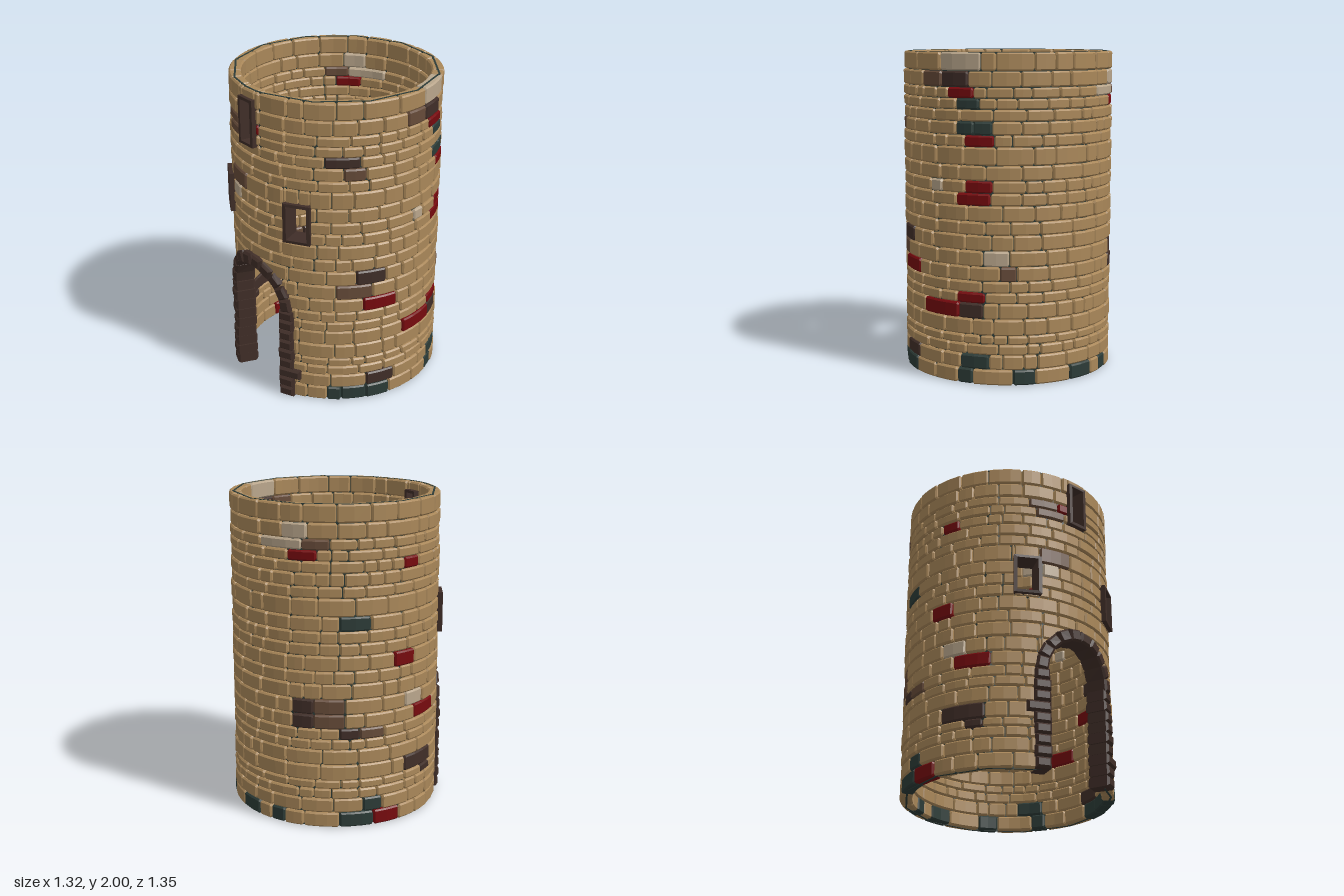
import * as THREE from 'three';
import { mergeGeometries } from 'three/addons/utils/BufferGeometryUtils.js';

const DEG = Math.PI / 180;
const R = 0.66;          // wall radius used when wrapping flat parts
const CZ = -0.015;       // centre of the tower in z
const ARCH_R = 0.27, SPRING = 0.615;

// row boundaries from top to bottom
const LEVELS = [2, 1.89, 1.795, 1.73, 1.665, 1.595, 1.515, 1.445, 1.335, 1.245, 1.17, 1.095, 1,
  0.92, 0.825, 0.73, 0.64, 0.57, 0.505, 0.41, 0.31, 0.255, 0.19, 0.1, 0.005];

// coloured bricks: [row, start angle, end angle], 0 = front, 90 = +x
const ACCENTS = {
  red: [[2, -12, 7], [4, -80, -69], [11, -86, -72], [15, -71, -50], [15, 66, 86], [18, 91, 115],
    [17, 114, 130], [9, 119, 134], [10, 114, 133], [6, 119, 135], [2, 109, 124], [3, -145, -129], [23, -98, -82]],
  pale: [[8, -22, -12], [14, -78, -64], [14, 129, 143], [9, 97, 105], [0, 104, 128], [1, -148, -134], [2, -162, -137]],
  teal: [[23, 46, 54], [23, 54, 68], [23, 68, 82], [23, 114, 123], [23, 145, 157], [23, 178, 194], [23, -157, -148],
    [23, -117, -98], [22, -104, -93], [22, 116, 132], [5, 114, 124], [5, 124, 134], [3, 114, 127], [8, -117, -100]],
  brown: [[2, -29, -12], [3, -25, -8], [5, 55, 67], [7, -23.5, -5], [14, 51, 71], [1, 91, 105], [15, 138, 147],
    [2, -137, -122], [14, -131, -114], [15, -131, -114], [16, -106, -92]],
  dark: [[4, 45, 64], [19, -78, -53], [20, -64, -54], [13, 62, 79], [22, 68, 85], [18, 115, 129], [1, 105, 121],
    [14, -143, -131], [15, -143, -131], [16, -117, -106]],
};

// windows on the unrolled wall: centre u, width, bottom, top
const WINDOWS = [
  { name: 'upperWindow', u: -0.003, w: 0.134, y0: 1.655, y1: 1.95 },
  { name: 'leftWindow', u: 0.354, w: 0.168, y0: 1.105, y1: 1.36 },
  { name: 'rightWindow', u: -0.354, w: 0.168, y0: 1.105, y1: 1.36 },
];

// openings as angle ranges with a bottom and a top that may vary with angle
const doorTop = a => SPRING + Math.sqrt(Math.max(0, ARCH_R ** 2 - (a * DEG * R) ** 2));
const doorA = ARCH_R / R / DEG;
const HOLES = [
  { a0: -doorA, a1: 0, y0: -1, max: SPRING + ARCH_R, top: doorTop },
  { a0: 0, a1: doorA, y0: -1, max: SPRING + ARCH_R, top: doorTop },
  ...WINDOWS.map(w => ({
    a0: (w.u - w.w / 2 + 0.008) / R / DEG, a1: (w.u + w.w / 2 - 0.008) / R / DEG,
    y0: w.y0 + 0.008, max: w.y1 - 0.008, top: () => w.y1 - 0.008,
  })),
];

let seed = 7;
const rand = () => (seed = (seed * 16807) % 2147483647) / 2147483647;

function makeGeometry(pos) {
  const g = new THREE.BufferGeometry();
  g.setAttribute('position', new THREE.Float32BufferAttribute(pos, 3));
  g.computeVertexNormals();
  return g;
}

// chamfered block bent round the tower; the bottom may follow an opening
function block(a0, a1, bottom, y1, r0, r1, c, step) {
  const n = Math.max(1, Math.ceil((a1 - a0) / step));
  const cols = [];
  for (let i = 0; i <= n; i++) {
    const a = a0 + (a1 - a0) * i / n;
    if (bottom(a) < y1 - 0.008) cols.push({ a, y: bottom(a), in: 0 });
  }
  if (cols.length < 2) return null;
  if (c) { // inset end sections give the bevelled ends
    const e = Math.min(c / R / DEG, (cols[1].a - cols[0].a) / 3);
    const first = cols[0], last = cols[cols.length - 1];
    cols.unshift({ ...first, in: c });
    cols.push({ ...last, in: c });
    first.a += e;
    last.a -= e;
  }
  const rings = cols.map(({ a, y, in: k }) => {
    const b = Math.min(c, (y1 - y) / 4), m = Math.min(k, b);
    const lo = y + m, hi = y1 - m, ri = r0 + m, ro = r1 - m;
    const sec = c ? [[ro, lo + b], [ro, hi - b], [ro - b, hi], [ri + b, hi], [ri, hi - b], [ri, lo + b], [ri + b, lo], [ro - b, lo]]
      : [[ro, lo], [ro, hi], [ri, hi], [ri, lo]];
    return sec.map(([r, h]) => [r * Math.sin(a * DEG), h, r * Math.cos(a * DEG) + CZ]);
  });
  const pos = [], tri = (...p) => p.forEach(v => pos.push(...v));
  const s = rings[0].length, end = rings[rings.length - 1];
  for (let i = 0; i + 1 < rings.length; i++) for (let k = 0; k < s; k++) {
    const l = (k + 1) % s, A = rings[i], B = rings[i + 1];
    tri(A[k], B[k], B[l]);
    tri(A[k], B[l], A[l]);
  }
  for (let k = 1; k + 1 < s; k++) {
    tri(rings[0][0], rings[0][k], rings[0][k + 1]);
    tri(end[0], end[k + 1], end[k]);
  }
  return makeGeometry(pos);
}

// a course piece cut round every opening it meets
function cutBlock(out, a0, a1, y0, y1, r0, r1, c, step) {
  const add = (...args) => { const g = block(...args); if (g) out.push(g); };
  const hits = HOLES.filter(h => h.a1 > a0 && h.a0 < a1 && h.y0 < y1 && h.max > y0).sort((p, q) => p.a0 - q.a0);
  let at = a0;
  for (const h of hits) {
    const s = Math.max(a0, h.a0), e = Math.min(a1, h.a1);
    if (s - at > 0.3) add(at, s, () => y0, y1, r0, r1, c, step);
    if (h.y0 - y0 > 0.01) add(s, e, () => y0, h.y0, r0, r1, c, step);
    add(s, e, a => Math.max(y0, h.top(a)), y1, r0, r1, c, 1.5);
    at = e;
  }
  if (a1 - at > 0.3) add(at, a1, () => y0, y1, r0, r1, c, step);
}

// bends a flat part (x along the wall, z = radius) round the tower
function wrap(g) {
  const p = g.attributes.position;
  for (let i = 0; i < p.count; i++) {
    const a = p.getX(i) / R, r = p.getZ(i);
    p.setXYZ(i, r * Math.sin(a), p.getY(i), r * Math.cos(a) + CZ);
  }
  g.computeVertexNormals();
  return g;
}

function rect(Type, w, h) {
  return new Type([[-w, -h], [w, -h], [w, h], [-w, h]].map(([x, y]) => new THREE.Vector2(x / 2, y / 2)));
}

// chamfered arch stone
function stone(u, y, w, h, turn) {
  const b = 0.013, r0 = 0.545 + rand() * 0.008, r1 = 0.682 + rand() * 0.008;
  const g = new THREE.ExtrudeGeometry(rect(THREE.Shape, w, h), {
    depth: r1 - r0 - 2 * b, bevelThickness: b, bevelSize: b, bevelOffset: -b, bevelSegments: 1,
  });
  return wrap(g.rotateZ(turn).translate(u, y, r0 + b));
}

export function createModel() {
  const model = new THREE.Group();
  model.name = 'brickTower';
  const colors = { tan: 0xa98759, red: 0x760a0e, pale: 0xb9a68c, teal: 0x2c3b37, brown: 0x664b39, dark: 0x402e28 };
  const mats = {};
  for (const [name, color] of Object.entries(colors)) {
    mats[name] = new THREE.MeshStandardMaterial({ color, flatShading: true });
    mats[name].name = name;
  }
  const addMesh = (name, geo, mat) => {
    const m = new THREE.Mesh(geo, mats[mat]);
    m.name = name;
    model.add(m);
  };

  // brick courses and the thin twelve-sided mortar core
  const bricks = { tan: [], red: [], pale: [], teal: [], brown: [], dark: [] }, mortar = [];
  for (let row = 0; row < LEVELS.length - 1; row++) {
    const y1 = LEVELS[row], y0 = LEVELS[row + 1];
    const fixed = Object.entries(ACCENTS)
      .flatMap(([col, list]) => list.filter(b => b[0] === row).map(b => ({ a0: b[1], a1: b[2], col })))
      .sort((p, q) => p.a0 - q.a0);
    const start = fixed.length ? fixed[0].a0 : -180 + rand() * 20;
    const avg = 9.5 + (y1 - y0) * 55;
    const all = [...fixed];
    let at = start;
    for (const f of [...fixed, { a0: start + 360, a1: start + 360 }]) {
      const gap = f.a0 - at;
      if (gap > 0.5) {
        const n = Math.max(1, Math.round(gap / avg));
        const widths = Array.from({ length: n }, () => 0.55 + rand() * 0.9);
        const sum = widths.reduce((p, q) => p + q, 0);
        for (const w of widths) {
          all.push({ a0: at, a1: at + gap * w / sum, col: 'tan' });
          at += gap * w / sum;
        }
      }
      at = f.a1;
    }
    for (const { a0, a1, col } of all) {
      const shift = a0 + a1 > 360 ? -360 : 0, j = (rand() - 0.5) * 0.008;
      cutBlock(bricks[col], a0 + shift + 0.2, a1 + shift - 0.2, y0 + 0.002, y1 - 0.002,
        0.58 + j, 0.656 + j, 0.009, 9);
    }
    for (let k = 0; k < 12; k++) cutBlock(mortar, -171 + k * 30, -141 + k * 30, y0, y1, 0.629, 0.641, 0, 30);
  }
  for (const col in bricks) addMesh(col + 'Bricks', mergeGeometries(bricks[col]), col);
  addMesh('mortarCore', mergeGeometries(mortar), 'teal');

  // door surround: two stacked legs and a ring of wedge stones
  const stones = [];
  for (const side of [-1, 1]) {
    for (let i = 0; i < 9; i++) {
      const long = (side < 0 && i === 5) || (side > 0 && i === 2);
      const w = long ? 0.145 : 0.088 + rand() * 0.016, h = SPRING / 9;
      stones.push(stone(side * (long ? 0.292 : ARCH_R), 0.004 + h * (i + 0.5), w, h - 0.003, 0));
    }
  }
  for (let i = 0; i < 10; i++) {
    const t = (i + 0.5) / 10 * Math.PI;
    stones.push(stone(ARCH_R * Math.cos(t), SPRING + ARCH_R * Math.sin(t), 0.07 + rand() * 0.01, 0.083, t));
  }
  addMesh('doorArch', mergeGeometries(stones), 'dark');

  // deep window frames passing through the wall
  for (const { name, u, w, y0, y1 } of WINDOWS) {
    const shape = rect(THREE.Shape, w, y1 - y0);
    shape.holes.push(rect(THREE.Path, w - 0.042, y1 - y0 - 0.036));
    const g = new THREE.ExtrudeGeometry(shape, { depth: 0.135, bevelEnabled: false });
    addMesh(name, wrap(g.translate(u, (y0 + y1) / 2, 0.55)), 'dark');
  }
  return model;
}
